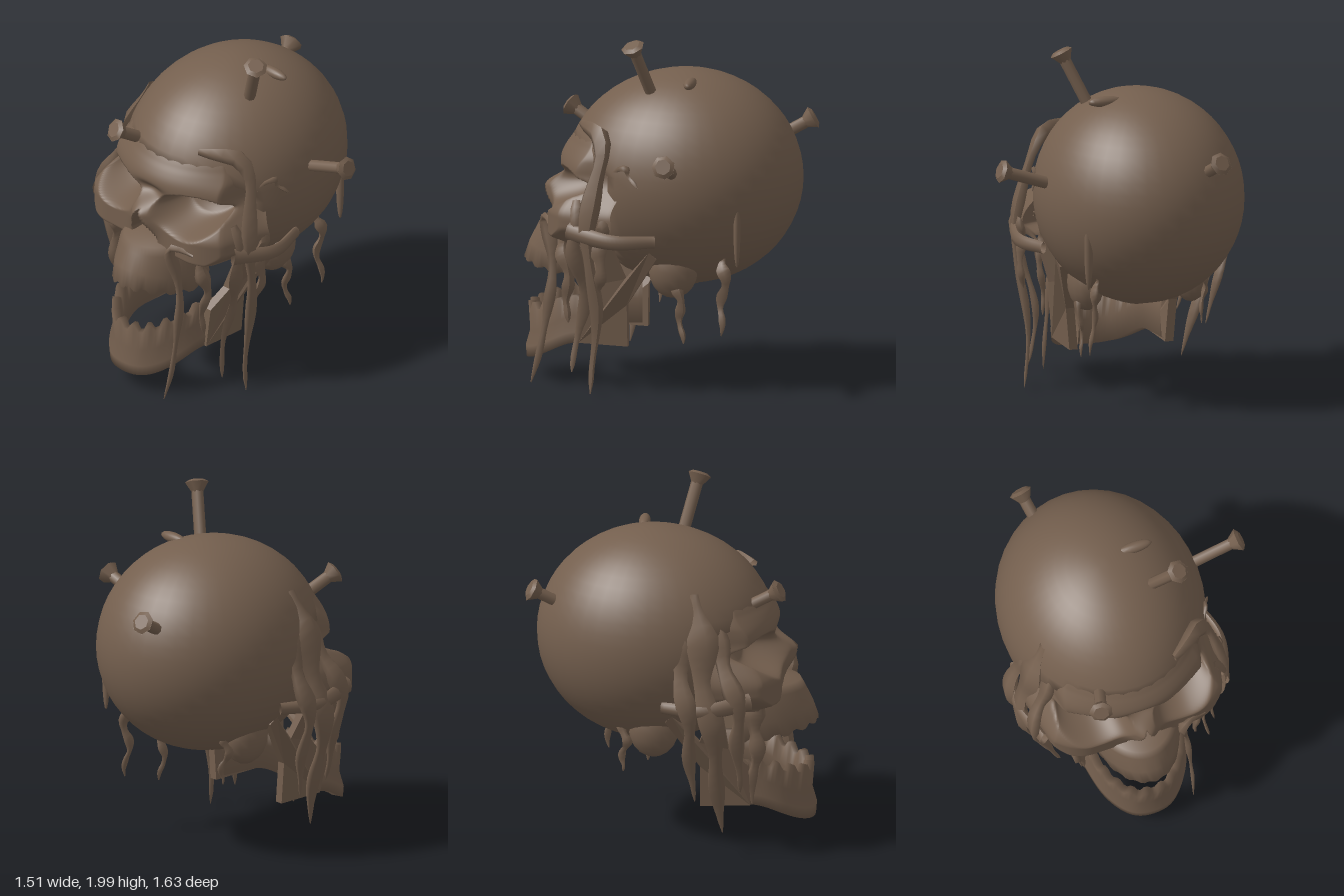
import * as THREE from 'three';
import { mergeVertices } from 'three/addons/utils/BufferGeometryUtils.js';

const bone = new THREE.MeshStandardMaterial({ color: 0x745f4e, side: THREE.DoubleSide });
bone.name = 'brown bone';

const { smoothstep, lerp } = THREE.MathUtils;
const V = (x, y, z) => new THREE.Vector3(x, y, z);

function part(parent, geometry, name) {
  const mesh = new THREE.Mesh(geometry, bone);
  mesh.name = name;
  parent.add(mesh);
  return mesh;
}

// Skin a list of equal-length point rows
function loft(rows, closed = false) {
  const n = rows[0].length, index = [];
  for (let i = 0; i < rows.length - 1; i++) {
    for (let j = 0; j < (closed ? n : n - 1); j++) {
      const k = (j + 1) % n, a = i * n + j, b = i * n + k, c = a + n, d = b + n;
      index.push(a, b, d, a, d, c);
    }
  }
  const g = new THREE.BufferGeometry().setFromPoints(rows.flat());
  g.setIndex(index);
  g.computeVertexNormals();
  return g;
}

// Tube along points whose radius follows a rule, squashed per axis
function sweep(points, radius, squash, sides) {
  const curve = new THREE.CatmullRomCurve3(points), segs = 24;
  const g = new THREE.TubeGeometry(curve, segs, 1, sides, false);
  const pos = g.attributes.position, v = V(0, 0, 0);
  for (let i = 0; i < pos.count; i++) {
    const t = Math.floor(i / (sides + 1)) / segs, c = curve.getPointAt(t);
    v.fromBufferAttribute(pos, i).sub(c).multiplyScalar(radius(t)).multiply(squash).add(c);
    pos.setXYZ(i, v.x, v.y, v.z);
  }
  g.computeVertexNormals();
  return g;
}

// Hanging shred: wavers along its path and tapers to a point
function shredGeometry(width, points, seed) {
  const path = new THREE.CatmullRomCurve3(points.map(p => V(...p)));
  const wavy = Array.from({ length: 11 }, (_, i) => {
    const t = i / 10, sway = 0.07 * t * (1 - t);
    return path.getPoint(t).add(V(sway * Math.sin(11 * t + seed), 0, sway * Math.cos(13 * t + seed)));
  });
  const radius = t => 0.003 + width * Math.min(1, 0.35 + 4 * t) * Math.sqrt(1 - t) * (0.85 + 0.25 * Math.sin(20 * t + seed));
  return sweep(wavy, radius, V(0.5, 0.8, 1), 5);
}

// Braincase: two half ellipsoids, cut flat behind the face
function craniumGeometry() {
  let g = new THREE.SphereGeometry(1, 40, 28);
  g.deleteAttribute('uv');
  g.deleteAttribute('normal');
  g = mergeVertices(g, 1e-4);
  const p = g.attributes.position;
  for (let i = 0; i < p.count; i++) {
    const y = 1.17 + p.getY(i) * 0.605;
    const z = -0.11 + p.getZ(i) * (p.getZ(i) > 0 ? 0.69 : 0.65);
    p.setXYZ(i, p.getX(i) * 0.58, y, Math.min(z, lerp(0.25, 1, smoothstep(y, 1.28, 1.36))));
  }
  g.computeVertexNormals();
  return g;
}

// Face depth: brow, cheeks, eye sockets, nasal bone and nose opening
function faceDepth(a, y) {
  const q = 1 - (a / 0.58) ** 2 - ((y - 1.17) / 0.605) ** 2;
  const forehead = -0.11 + 0.69 * Math.sqrt(Math.max(q, 0)) + lerp(0.008, -0.012, smoothstep(y, 1.34, 1.46));
  const brow = 0.605 - a * a;
  const cheek = 0.62 - 2.5 * Math.max(0, a - 0.3) ** 2;
  let z = lerp(cheek, brow, smoothstep(y, 1.0, 1.2));
  z = lerp(z, forehead, smoothstep(y, 1.23, 1.38));
  // sockets: sharp under the brow, sloping out gently onto the cheek
  const e = ((a - 0.26) / 0.2) ** 2 + ((y - 1.13) / (y > 1.13 ? 0.11 : 0.135)) ** 2;
  z -= 0.2 * (1 - smoothstep(e, lerp(0, 0.5, smoothstep(y, 1.04, 1.2)), 1.05));
  // nasal bone and opening
  z -= 0.05 * Math.exp(-((a / 0.1) ** 2) - ((y - 1.2) / 0.04) ** 2);
  z += 0.09 * Math.exp(-((a / 0.085) ** 2)) * smoothstep(y, 0.86, 1.05) * (1 - smoothstep(y, 1.08, 1.18));
  const w = Math.min(0.55 * (1.1 - y), 0.088);
  z -= 0.22 * (1 - smoothstep(a, w - 0.014, w + 0.008)) * smoothstep(y, 0.9, 0.915);
  return z;
}

// Face mask: rows across the face, edges curled back into the skull
function faceGeometry() {
  const rows = [];
  for (let i = 0; i <= 84; i++) {
    const y = 0.83 + 0.63 * i / 84;
    const half = 0.45 + 0.125 * smoothstep(y, 0.83, 0.95) - 0.115 * smoothstep(y, 0.98, 1.24) - 0.06 * smoothstep(y, 1.3, 1.46);
    const row = [];
    for (let j = 0; j <= 120; j++) {
      const u = j / 60 - 1, a = Math.abs(u) * half;
      const curl = 0.22 * smoothstep(Math.abs(u), 0.86, 1) + 0.1 * (1 - smoothstep(y, 0.83, 0.88));
      row.push(V(u * half, y, faceDepth(a, y) - curl));
    }
    rows.push(row);
  }
  return loft(rows);
}

// Upper jaw: half-oval rows [y, half width, front z] down to the teeth, then in to the palate
function upperJawGeometry() {
  const rows = [[0.925, 0.2, 0.56], [0.905, 0.23, 0.715], [0.86, 0.255, 0.74], [0.77, 0.265, 0.785],
    [0.68, 0.25, 0.815], [0.68, 0.205, 0.765], [0.79, 0.01, 0.44]];
  return loft(rows.map(([y, w, f]) => Array.from({ length: 41 }, (_, j) => {
    const t = (j / 40 - 0.5) * Math.PI, s = Math.sin(t);
    const tooth = y === 0.68 ? (j % 4 < 2 ? 0.014 : -0.008) : 0;
    const drop = tooth + (y < 0.8 ? 0.07 * s * s : 0);
    return V(w * s, y - drop, 0.38 + (f - 0.38) * Math.cos(t));
  })));
}

// Lower jaw: a closed section carried round a horseshoe
function lowerJawGeometry() {
  const half = [[0.3, 0.2], [0.285, 0.45], [0.225, 0.64], [0.11, 0.765]];
  const curve = new THREE.CatmullRomCurve3([
    ...half.map(([x, z]) => V(-x, 0, z)), V(0, 0, 0.79), ...half.reverse().map(([x, z]) => V(x, 0, z))]);
  const rows = [];
  for (let j = 0; j <= 60; j++) {
    const p = curve.getPointAt(j / 60), t = curve.getTangentAt(j / 60);
    const back = 1 - smoothstep(p.z, 0.44, 0.82);
    const low = lerp(0.11, 0.25, back);
    const top = lerp(0.41, 0.5, back) + (p.z > 0.45 ? (j % 4 < 2 ? 0.015 : -0.025) : 0);
    const section = [[0.01, low], [0.015, low + 0.06], [-0.01, low + 0.15], [0, top],
      [-0.045, top], [-0.06, low + 0.15], [-0.05, low + 0.01]];
    rows.push(section.map(([o, y]) => V(p.x - t.z * o, y, p.z + t.x * o)));
  }
  return loft(rows, true);
}

// Upright jaw branch with hinge and front prong, leaning outwards
function ramusGeometry(side) {
  const outline = [[0.17, 0.24], [0.45, 0.25], [0.44, 0.49], [0.33, 0.6], [0.3, 0.84], [0.24, 0.84], [0.17, 0.64],
    [0.02, 0.81], [-0.02, 0.77], [0.17, 0.48]];
  const shape = new THREE.Shape(outline.map(([z, y]) => new THREE.Vector2(-z, y)));
  const g = new THREE.ExtrudeGeometry(shape, { depth: 0.05, bevelEnabled: false });
  g.rotateY(Math.PI / 2);
  const p = g.attributes.position;
  for (let i = 0; i < p.count; i++) p.setX(i, side * (p.getX(i) + 0.26 + 0.15 * smoothstep(p.getY(i), 0.35, 0.9)));
  if (side < 0) g.setIndex(Array.from({ length: p.count }, (_, i) => p.count - 1 - i));
  g.computeVertexNormals();
  return g;
}

// Nail with a flared seven-sided head
function addNail(parent, from, to, name) {
  const a = V(...from), b = V(...to), len = a.distanceTo(b);
  const nail = new THREE.Group();
  nail.name = name;
  part(nail, new THREE.CylinderGeometry(0.034, 0.034, len, 8).translate(0, len / 2 - 0.03, 0), 'shaft');
  part(nail, new THREE.CylinderGeometry(0.068, 0.03, 0.06, 7).translate(0, len - 0.045, 0), 'head');
  part(nail, new THREE.CylinderGeometry(0.045, 0.068, 0.015, 7).translate(0, len - 0.008, 0), 'headTop');
  nail.position.copy(a);
  nail.quaternion.setFromUnitVectors(V(0, 1, 0), b.sub(a).normalize());
  parent.add(nail);
}

// Sphere scaled into a lump or a cut
function addLump(parent, name, at, size) {
  const lump = part(parent, new THREE.SphereGeometry(1, 16, 10), name);
  lump.position.set(...at);
  lump.scale.set(...size);
}

export function createModel() {
  const model = new THREE.Group();
  model.name = 'nailedSkull';
  const skull = new THREE.Group();
  skull.name = 'skull';
  skull.position.x = -0.115;
  model.add(skull);

  part(skull, craniumGeometry(), 'cranium');
  part(skull, faceGeometry(), 'face');
  part(skull, upperJawGeometry(), 'upperJaw');
  part(skull, lowerJawGeometry(), 'lowerJaw');
  addLump(skull, 'skullBase', [0, 0.67, -0.06], [0.2, 0.13, 0.22]);
  for (const s of [-1, 1]) {
    part(skull, ramusGeometry(s), 'jawBranch');
    const arch = [V(s * 0.53, 0.93, 0.46), V(s * 0.6, 0.89, 0.2), V(s * 0.54, 0.89, -0.03)];
    part(skull, sweep(arch, t => 0.052 - 0.018 * t, V(0.6, 1, 1), 8), 'cheekArch');
    addLump(skull, 'mastoid', [s * 0.31, 0.69, -0.09], [0.1, 0.16, 0.14]);
  }

  // Raised cuts in the bone
  addLump(model, 'sideCut', [0.325, 0.97, -0.48], [0.025, 0.23, 0.02]);
  addLump(model, 'topCut', [0.11, 1.735, -0.17], [0.1, 0.03, 0.032]);

  addNail(model, [0.14, 1.69, 0.05], [0.268, 1.975, 0.13], 'topNail');
  addNail(model, [0.42, 1.28, -0.13], [0.73, 1.385, -0.14], 'sideNail');
  addNail(model, [-0.315, 1.39, 0.44], [-0.365, 1.5, 0.62], 'foreheadNail');
  addNail(model, [-0.315, 1.385, -0.62], [-0.355, 1.48, -0.79], 'backNail');

  // Long shreds draped over the temples and cheeks: width, path
  const draped = [
    [0.07, [0.13, 1.49, 0.44], [0.33, 1.44, 0.3], [0.46, 0.93, 0.34], [0.38, 0.4, 0.32], [0.4, 0.005, 0.34]],
    [0.055, [0.38, 1.1, 0.42], [0.44, 0.9, 0.42], [0.31, 0.5, 0.4], [0.33, 0.11, 0.46]],
    [0.03, [0.37, 1.15, 0.22], [0.4, 1.3, 0.16], [0.46, 1.2, 0.06]],
    [0.045, [0.25, 0.93, 0.6], [0.1, 0.94, 0.65], [0.16, 0.5, 0.61], [0.14, 0.003, 0.73]],
    [0.1, [-0.54, 1.52, 0.14], [-0.7, 0.93, 0.22], [-0.52, 0.12, 0.3]],
    [0.075, [-0.58, 1.42, 0.06], [-0.72, 0.9, 0.1], [-0.61, 0.33, 0.15]],
    [0.075, [-0.52, 1.38, 0.24], [-0.67, 0.9, 0.38], [-0.53, 0.36, 0.4]],
  ];
  // Short shreds hanging from the cheeks and skull base: width, top, tip
  const drops = [
    [0.055, [0.46, 1, 0.26], [0.42, 0.5, 0.3]],
    [0.055, [0.24, 0.9, 0.52], [0.23, 0.37, 0.5]],
    [0.04, [0.24, 0.68, -0.11], [0.25, 0.28, -0.16]],
    [0.04, [0.24, 0.78, -0.39], [0.28, 0.34, -0.38]],
    [0.06, [-0.5, 0.9, 0.5], [-0.41, 0.25, 0.46]],
    [0.035, [-0.45, 0.74, -0.25], [-0.43, 0.44, -0.26]],
  ];
  [...draped, ...drops].forEach(([width, ...points], i) => part(model, shredGeometry(width, points, i), 'shred'));
  return model;
}
